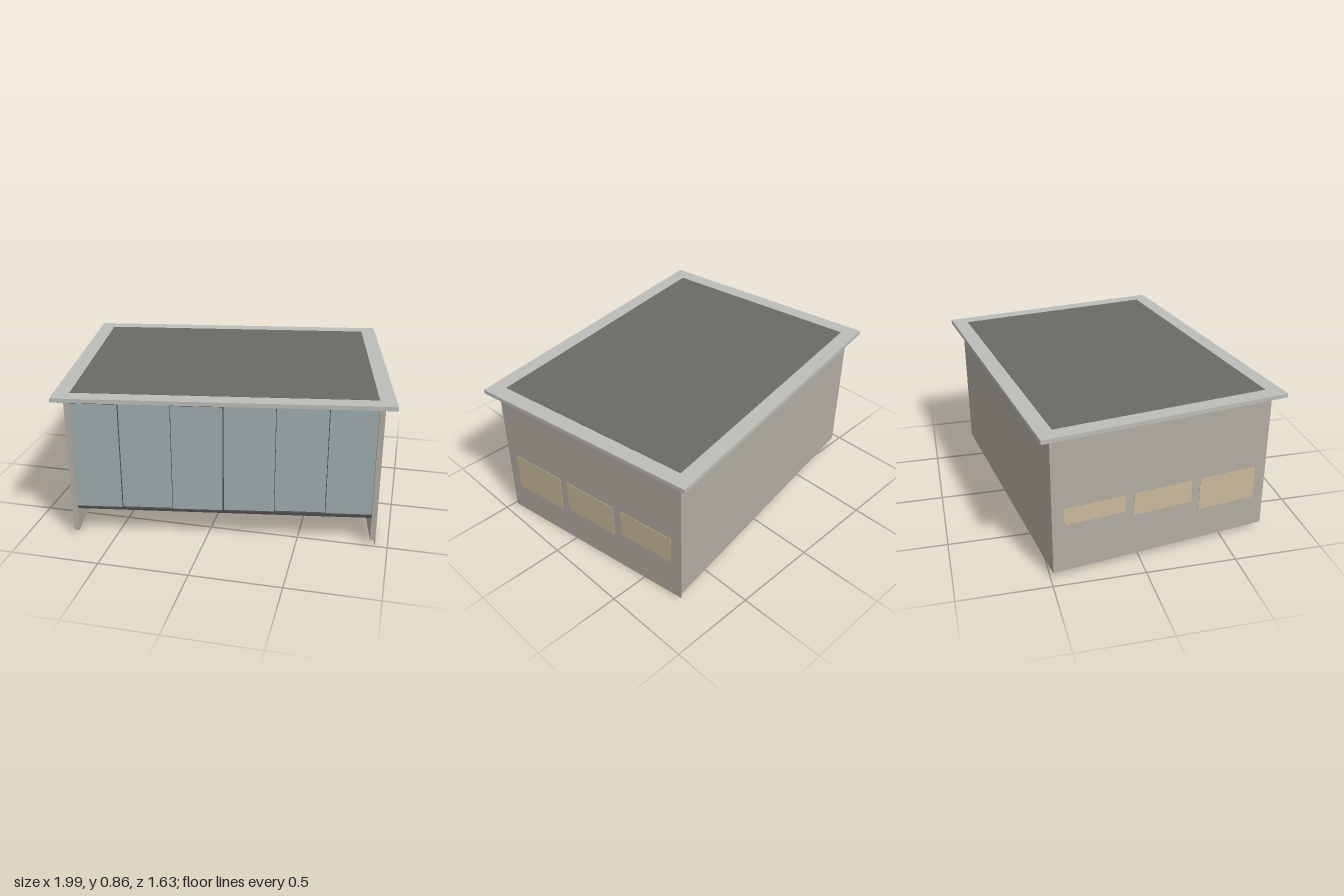
import * as THREE from 'three';

const W = 0.845, D = 0.625, T = 0.03, TOP = 0.83;

const material = (color) => new THREE.MeshStandardMaterial({ color });
const wallMat = material(0xb2ada2);
const glassMat = material(0x9fadb0);
const frameMat = material(0x4c4c4e);
const windowMat = material(0xc9ba9c);
const trimMat = material(0xbcbdb8);
const roofMat = material(0x6c6a65);

// Box given by its minimum and maximum along each axis
function block(name, mat, [x0, x1], [y0, y1], [z0, z1]) {
  const mesh = new THREE.Mesh(new THREE.BoxGeometry(x1 - x0, y1 - y0, z1 - z0), mat);
  mesh.position.set((x0 + x1) / 2, (y0 + y1) / 2, (z0 + z1) / 2);
  mesh.name = name;
  return mesh;
}

// Side wall: structural core, thin outer cladding and three flush windows
function sideWall(name, side, claddingBottom, sills) {
  const wall = new THREE.Group();
  wall.name = name;
  const span = (a, b) => [Math.min(side * a, side * b), Math.max(side * a, side * b)];
  wall.add(block('wallCore', wallMat, span(W - T, W - 0.003), [0.03, TOP], [-D, D]));
  wall.add(block('wallCladding', wallMat, span(W - 0.003, W), [claddingBottom, TOP], [-D, D]));
  sills.forEach((sill, i) => {
    const z = (1 - i) * 0.389;
    wall.add(block('sideWindow', windowMat, span(W - 0.001, W + 0.002), [sill, 0.408], [z - 0.17, z + 0.17]));
  });
  return wall;
}

// Roof slab with a light border around a darker field
function makeRoof() {
  const roof = new THREE.Group();
  roof.name = 'roof';
  const x = 0.9, z = 0.685, m = 0.087;
  roof.add(block('roofSlab', trimMat, [-x, x], [TOP, 0.853], [-z, z]));
  roof.add(block('roofField', roofMat, [-x + m, x - m], [0.85, 0.855], [-z + m, z - m]));
  return roof;
}

// Six overlapping sliding glass panels on a dark bottom rail
function makeGlazing() {
  const glazing = new THREE.Group();
  glazing.name = 'glazing';
  const edge = W - T;
  const joints = [-edge, -0.562, -0.281, 0, 0.281, 0.562, edge];
  const depths = [0.61, 0.602, 0.61, 0.604, 0.596, 0.604];
  depths.forEach((z, i) => {
    glazing.add(block('glassPanel', glassMat, [joints[i], joints[i + 1]], [0.18, 0.797], [z - 0.008, z]));
    glazing.add(block('panelTopEdge', frameMat, [joints[i], joints[i + 1]], [0.797, 0.8], [z - 0.008, z]));
  });
  for (let i = 1; i < 6; i++) {
    const half = i === 3 ? 0.003 : 0.0015;
    const z = Math.max(depths[i - 1], depths[i]);
    glazing.add(block('panelJoint', frameMat,
      [joints[i] - half, joints[i] + half], [0.18, 0.8], [0.586, z + 0.0005]));
  }
  glazing.add(block('bottomRail', frameMat, [-edge, edge], [0.165, 0.18], [0.582, 0.614]));
  return glazing;
}

export function createModel() {
  const building = new THREE.Group();
  building.name = 'building';
  building.add(sideWall('leftWall', 1, 0, [0.18, 0.21, 0.24]));
  building.add(sideWall('rightWall', -1, 0.04, [0.218, 0.278, 0.312]));
  building.add(block('backWall', wallMat, [-W + T, W - T], [0.03, TOP], [-D, -D + T]));
  building.add(makeGlazing(), makeRoof());

  // The building stands slightly turned on its plot
  building.rotation.y = THREE.MathUtils.degToRad(9);
  const model = new THREE.Group();
  model.name = 'pavilion';
  model.add(building);
  return model;
}
